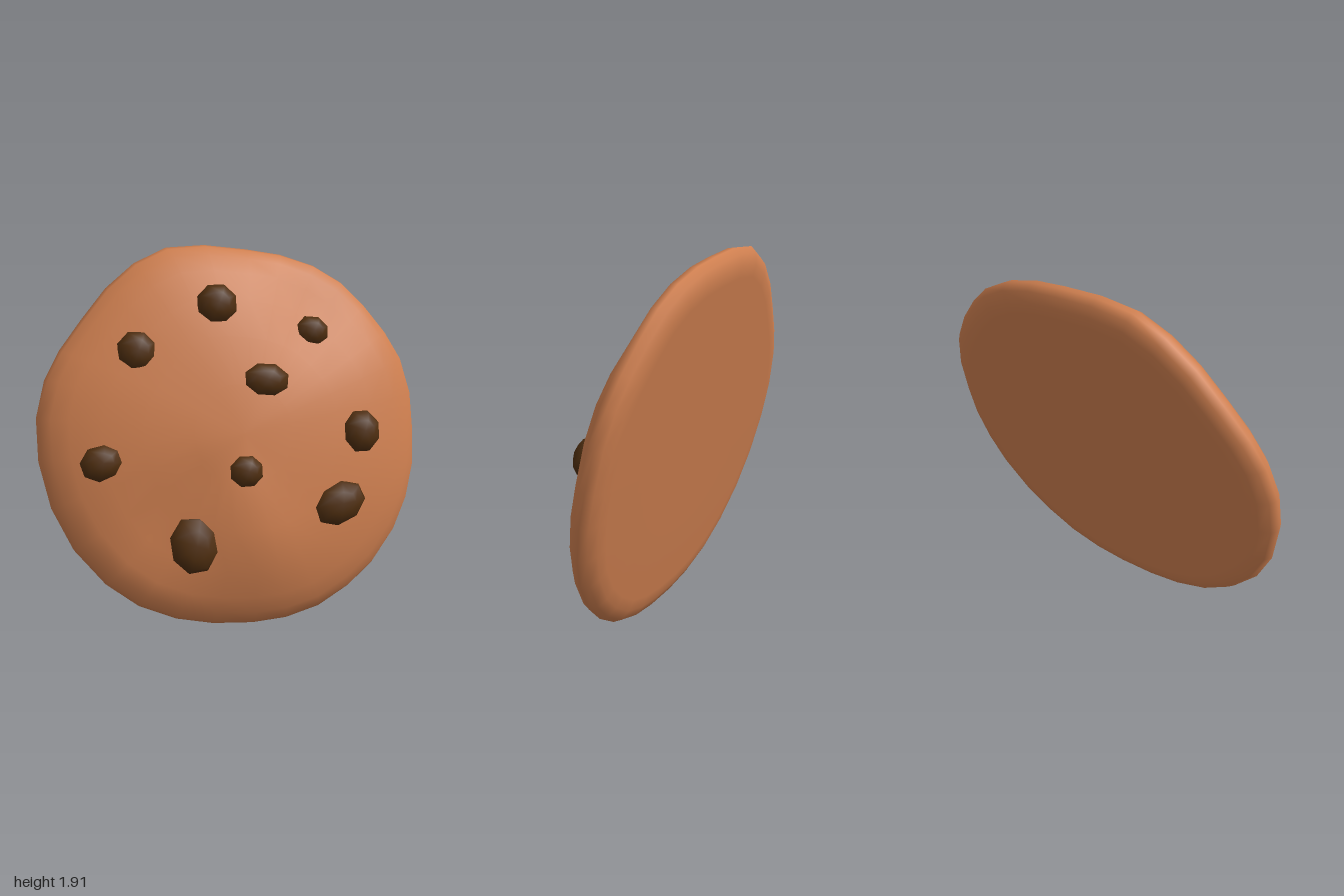
import * as THREE from 'three';
import { mergeVertices } from 'three/addons/utils/BufferGeometryUtils.js';

const TILT = 0.226; // the cookie leans back
const CENTER = new THREE.Vector3(0, 0.95, -0.11);

// Uneven rim, counter-clockwise as seen from the front
const RIM = [
  [0.99, 0.93], [0.985, 1.13], [0.94, 1.31], [0.86, 1.45], [0.75, 1.59], [0.63, 1.71],
  [0.48, 1.8], [0.3, 1.86], [0.12, 1.89], [-0.1, 1.915], [-0.3, 1.905], [-0.47, 1.83],
  [-0.62, 1.71], [-0.75, 1.56], [-0.87, 1.41], [-0.95, 1.27], [-1, 1.09], [-1, 0.88],
  [-0.95, 0.65], [-0.85, 0.44], [-0.7, 0.26], [-0.54, 0.14], [-0.35, 0.06], [-0.16, 0.02],
  [0.05, 0.005], [0.23, 0.015], [0.41, 0.06], [0.58, 0.15], [0.72, 0.26], [0.85, 0.42],
  [0.93, 0.58], [0.98, 0.76],
];

// Cross-section from back centre, round the rim, to front centre: [scale, height]
const PROFILE = [
  [0, 0], [0.5, 0], [0.86, 0], [0.92, 0.004], [0.975, 0.025], [1, 0.06], [0.985, 0.1],
  [0.935, 0.145], [0.85, 0.187], [0.7, 0.235], [0.5, 0.275], [0.25, 0.303], [0, 0.31],
];

// Soft bumps and dips on the front: [x, y, height, width]
const LUMPS = [
  [0.42, 0.6, -0.065, 0.24],
  [0.05, -0.53, 0.04, 0.22],
  [-0.4, -0.42, -0.05, 0.2],
];

function cookieGeometry() {
  const positions = [];
  const index = [];
  const count = RIM.length;
  PROFILE.forEach(([scale, height], ring) => {
    RIM.forEach(([rx, ry], i) => {
      const x = rx * scale;
      const y = ((ry - 0.963) / Math.cos(TILT)) * scale;
      let z = height;
      if (ring > 6) {
        for (const [lx, ly, h, w] of LUMPS) {
          z += h * Math.exp(-((x - lx) ** 2 + (y - ly) ** 2) / (w * w));
        }
      }
      positions.push(x, y, z);
      if (ring === 0) return;
      const j = (i + 1) % count;
      const a = (ring - 1) * count + i;
      const b = (ring - 1) * count + j;
      const c = ring * count + j;
      const d = ring * count + i;
      if (ring > 1) index.push(a, b, d);
      if (ring < PROFILE.length - 1) index.push(b, c, d);
    });
  });
  const geometry = new THREE.BufferGeometry();
  geometry.setAttribute('position', new THREE.Float32BufferAttribute(positions, 3));
  geometry.setIndex(index);
  const merged = mergeVertices(geometry);
  merged.computeVertexNormals();
  return merged;
}

// Chips: [x, y, z, half width, half height, spin]
const CHIPS = [
  [-0.09, 1.64, -0.02, 0.107, 0.103, 0],
  [-0.5, 1.42, 0, 0.104, 0.104, 0],
  [0.415, 1.48, -0.055, 0.097, 0.083, -0.1],
  [0.13, 1.265, 0.1, 0.128, 0.09, -0.1],
  [0.63, 0.985, 0.14, 0.104, 0.112, 0],
  [0, 0.83, 0.213, 0.094, 0.088, 0],
  [-0.705, 0.895, 0.125, 0.11, 0.092, 0.3],
  [-0.27, 0.475, 0.24, 0.125, 0.148, 0.1],
  [0.49, 0.635, 0.225, 0.147, 0.108, 0.4],
];

export function createModel() {
  const dough = new THREE.MeshStandardMaterial({ color: 0xd08050 });
  dough.name = 'baked dough';
  const chocolate = new THREE.MeshStandardMaterial({ color: 0x502f10 });
  chocolate.name = 'dark chocolate';

  const model = new THREE.Group();
  model.name = 'cookie';

  const body = new THREE.Mesh(cookieGeometry(), dough);
  body.name = 'cookieBody';
  body.position.copy(CENTER);
  body.rotation.x = -TILT;
  model.add(body);

  // One low-poly pebble with its pole facing forward, stretched for each chip
  const pebble = new THREE.SphereGeometry(1, 8, 6).rotateX(Math.PI / 2).rotateZ(Math.PI / 8);
  const chips = new THREE.Group();
  chips.name = 'chocolateChips';
  for (const [x, y, z, w, h, spin] of CHIPS) {
    const chip = new THREE.Mesh(pebble, chocolate);
    chip.name = 'chocolateChip';
    chip.position.set(x, y, z);
    chip.rotation.set(-TILT, 0, spin);
    chip.scale.set(w, h, 0.072);
    chips.add(chip);
  }
  model.add(chips);
  return model;
}
